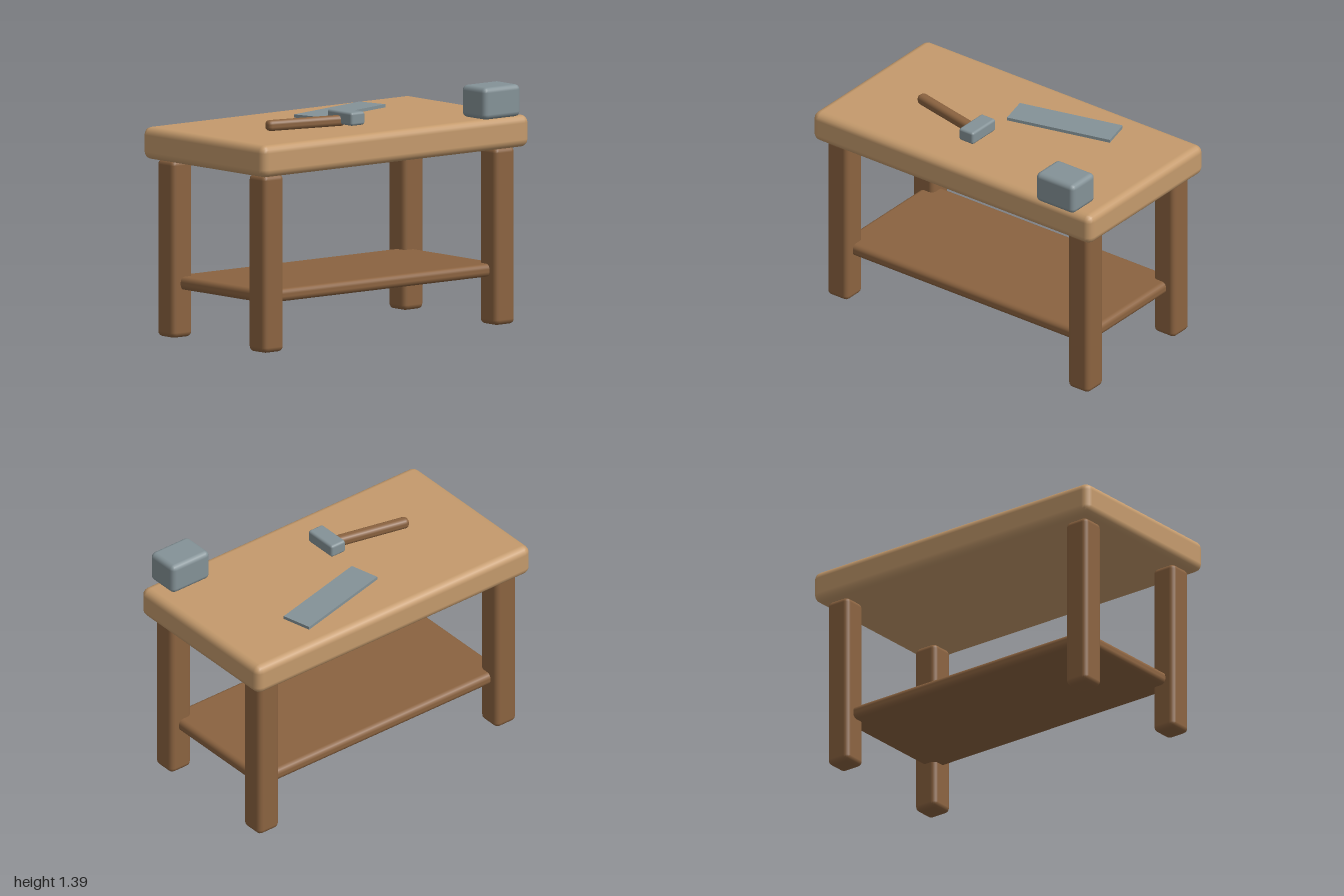
import * as THREE from 'three';
import { RoundedBoxGeometry } from 'three/addons/geometries/RoundedBoxGeometry.js';

const material = (name, color) => {
  const m = new THREE.MeshStandardMaterial({ color });
  m.name = name;
  return m;
};

export function createModel() {
  const lightWood = material('light wood', 0xc49a6c);
  const darkWood = material('dark wood', 0x8b6340);
  const steel = material('steel', 0x849297);

  const model = new THREE.Group();
  model.name = 'workbench';

  // Soft-edged block given by its size, centre and edge radius
  const block = (name, mat, size, centre, radius, parent = model) => {
    const mesh = new THREE.Mesh(new RoundedBoxGeometry(...size, 2, radius), mat);
    mesh.name = name;
    mesh.position.set(...centre);
    parent.add(mesh);
    return mesh;
  };

  // Bench
  block('tabletop', lightWood, [2, 0.185, 1.07], [0, 1.11, -0.015], 0.045);
  for (const [side, x] of [['left', 0.865], ['right', -0.865]]) {
    for (const [end, z] of [['front', 0.385], ['back', -0.415]]) {
      block(`${end} ${side} leg`, darkWood, [0.15, 1.02, 0.15], [x, 0.51, z], 0.03);
    }
  }
  block('shelf', darkWood, [1.77, 0.075, 0.84], [0, 0.312, -0.015], 0.03);

  // Hammer lying on the bench
  const hammer = new THREE.Group();
  hammer.name = 'hammer';
  model.add(hammer);
  const handle = block('hammerHandle', darkWood, [0.5, 0.062, 0.062], [-0.335, 1.233, 0.107], 0.024, hammer);
  handle.rotation.y = -0.22;
  block('hammerHead', steel, [0.104, 0.077, 0.216], [-0.08, 1.251, 0.167], 0.015, hammer);

  // Flat saw blade
  const blade = new THREE.Mesh(new THREE.BoxGeometry(0.639, 0.019, 0.182), steel);
  blade.name = 'sawBlade';
  blade.position.set(0.228, 1.2115, -0.249);
  blade.rotation.y = 0.243;
  model.add(blade);

  // Vise block overhanging the front edge
  block('viseBlock', steel, [0.275, 0.185, 0.212], [0.767, 1.297, 0.446], 0.03);

  return model;
}
